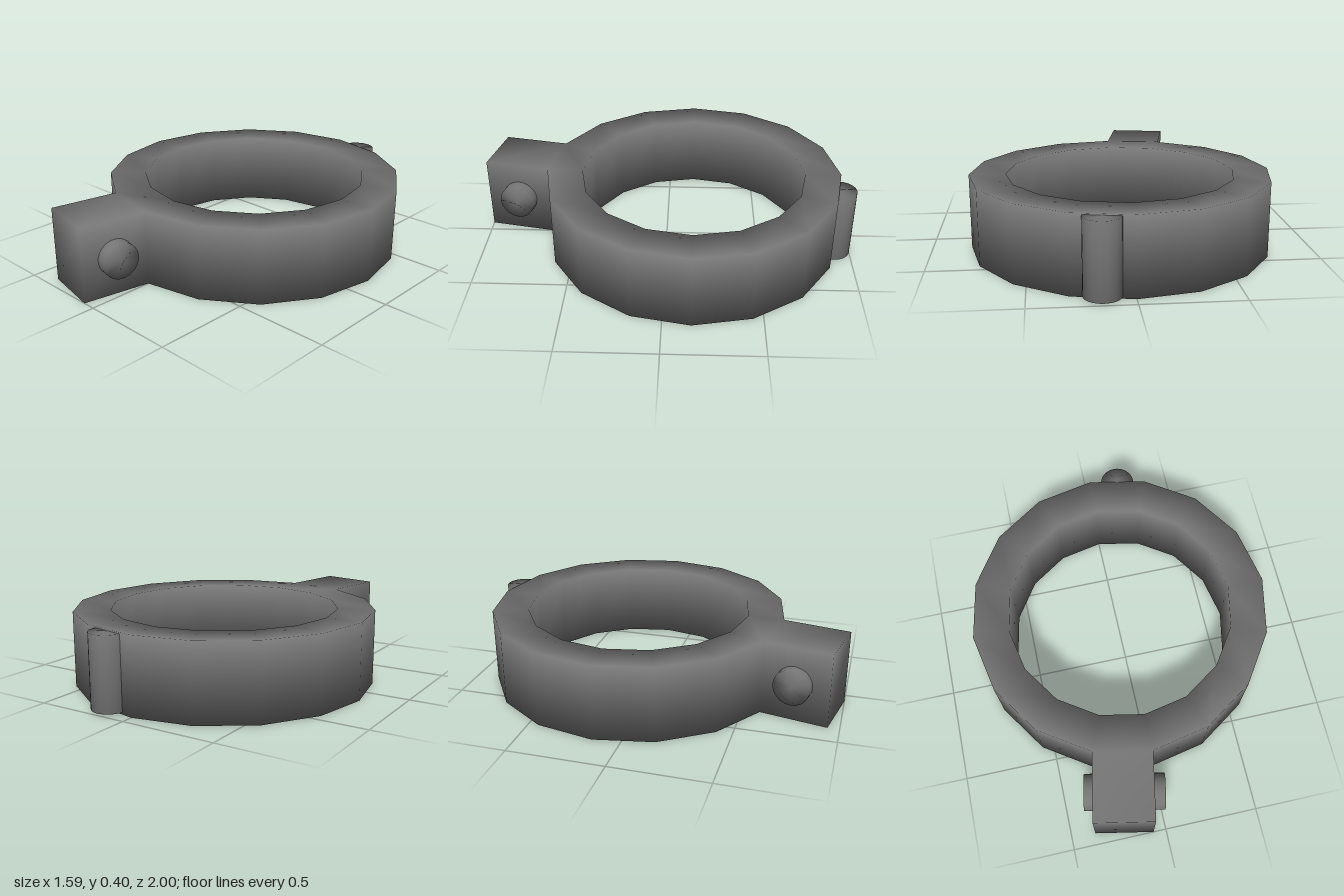
import * as THREE from 'three';

const SIDES = 16, OUTER = 0.795, INNER = 0.602, HEIGHT = 0.397, RING_Z = -0.144;
const material = new THREE.MeshStandardMaterial({ color: 0x757575 });

function add(group, name, geometry) {
  const mesh = new THREE.Mesh(geometry, material);
  mesh.name = name;
  group.add(mesh);
  return mesh;
}

// Ring with a square lug grown out of one facet, all sharing smooth vertices
function bandGeometry() {
  const points = [], normals = [], index = [];
  // Each corner is a bottom and top vertex pair; returns the pair's number
  const corner = (x, z) => {
    for (const y of [0, HEIGHT]) {
      points.push(new THREE.Vector3(x, y, z));
      normals.push(new THREE.Vector3());
    }
    return points.length / 2 - 1;
  };
  // Every quad gives its corners an equal share of its normal
  const quad = (a, b, c, d) => {
    index.push(a, b, c, a, c, d);
    const across = points[c].clone().sub(points[a]);
    const normal = across.cross(points[d].clone().sub(points[b])).normalize();
    for (const i of [a, b, c, d]) normals[i].add(normal);
  };
  const wall = (a, b) => quad(2 * a, 2 * b, 2 * b + 1, 2 * a + 1);
  const caps = (a, b, c, d) => {
    quad(2 * a + 1, 2 * b + 1, 2 * c + 1, 2 * d + 1);
    quad(2 * d, 2 * c, 2 * b, 2 * a);
  };
  const circle = (r) => Array.from({ length: SIDES }, (_, i) => {
    const t = (i / SIDES) * Math.PI * 2;
    return corner(r * Math.sin(t), RING_Z + r * Math.cos(t));
  });
  const outer = circle(OUTER), inner = circle(INNER);
  for (let i = 0; i < SIDES; i++) {
    const j = (i + 1) % SIDES;
    caps(outer[i], outer[j], inner[j], inner[i]);
    wall(inner[j], inner[i]);
    if (j !== 0) wall(outer[i], outer[j]);
  }
  // Lug
  const a = outer[SIDES - 1], d = outer[0];
  const b = corner(-0.373, 0.94), c = corner(-0.068, 1.0);
  wall(a, b);
  wall(b, c);
  wall(c, d);
  caps(a, b, c, d);

  const geometry = new THREE.BufferGeometry().setFromPoints(points);
  const flat = normals.flatMap((n) => n.normalize().toArray());
  geometry.setAttribute('normal', new THREE.Float32BufferAttribute(flat, 3));
  geometry.setIndex(index);
  return geometry;
}

// Capped cylinder whose shading flows smoothly over the rims
function softCylinder(radius, length) {
  const h = length / 2;
  const profile = [[0, -h], [radius, -h], [radius, h], [0, h]];
  return new THREE.LatheGeometry(profile.map(([x, y]) => new THREE.Vector2(x, y)), 32);
}

export function createModel() {
  const group = new THREE.Group();
  group.name = 'ringClamp';
  add(group, 'band', bandGeometry());

  // Cross bolt through the lug
  const bolt = add(group, 'bolt', softCylinder(0.095, 0.42));
  bolt.position.set(-0.18, 0.2, 0.79);
  bolt.quaternion.setFromUnitVectors(
    new THREE.Vector3(0, 1, 0), new THREE.Vector3(0.98, 0, 0.2).normalize());

  // Upright hinge pin half sunk into the rear facet
  const pin = add(group, 'hingePin', softCylinder(0.092, 0.38));
  pin.position.set(0.153, 0.2, -0.908);
  return group;
}
